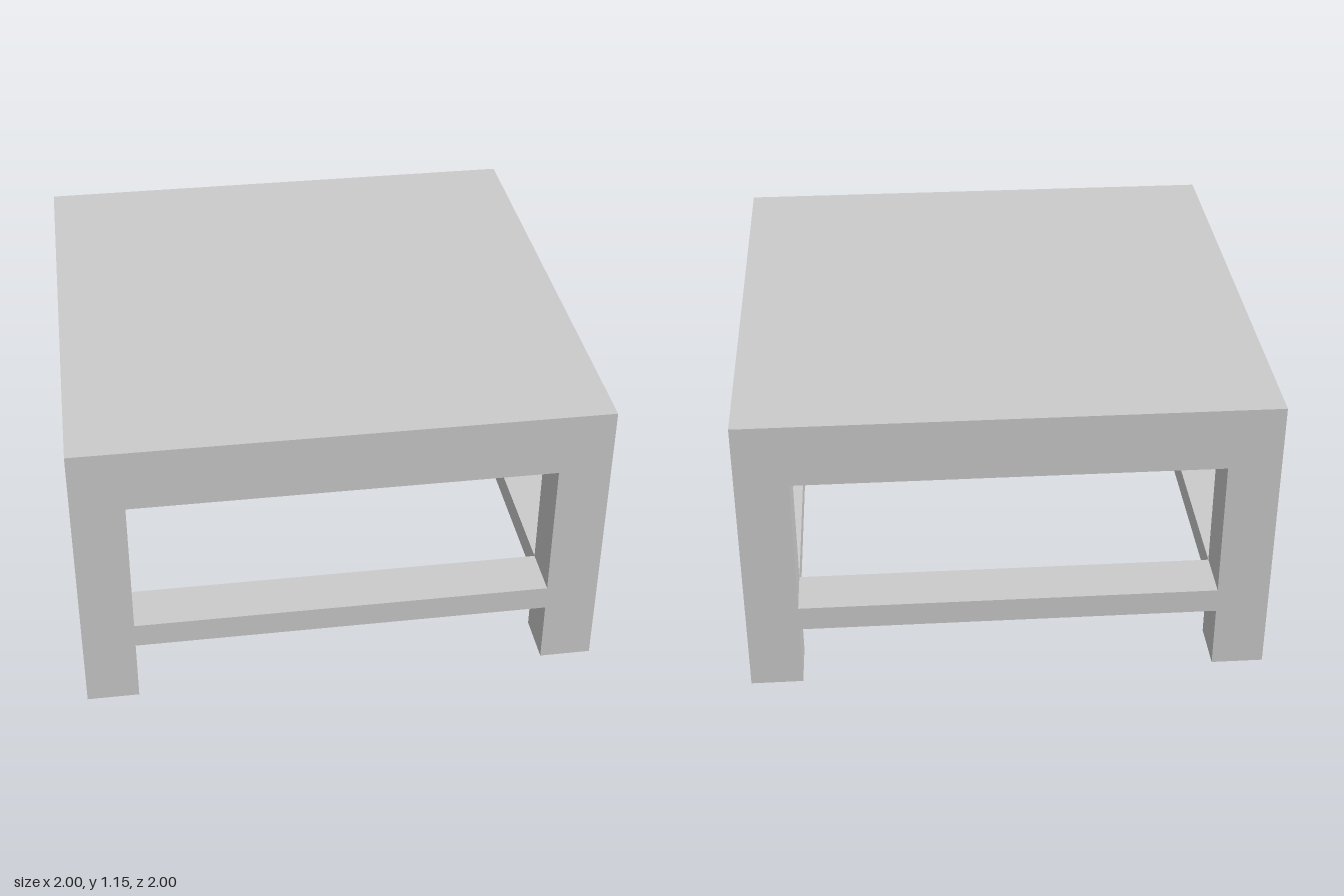
import * as THREE from 'three';

const HEIGHT = 1.154, LEG = 0.2, TOP = 0.005;
const APRON_Y = 0.907, RAIL_Y = 0.253, RAIL_H = 0.098;

export function createModel() {
  const group = new THREE.Group();
  group.name = 'table';
  const material = new THREE.MeshStandardMaterial({ color: 0xcccccc });

  // Box standing on height y, centred on x and z
  const box = (name, w, h, d, x, y, z, parent = group) => {
    const mesh = new THREE.Mesh(new THREE.BoxGeometry(w, h, d), material);
    mesh.name = name;
    mesh.position.set(x, y + h / 2, z);
    parent.add(mesh);
  };

  // Thin sheet closing the frame at the top
  box('tabletop', 2, TOP, 2, 0, HEIGHT - TOP, 0);

  // Square legs flush with the corners
  const c = 1 - LEG / 2;
  for (const x of [-c, c])
    for (const z of [-c, c]) box('leg', LEG, HEIGHT - TOP, LEG, x, 0, z);

  // Apron and low stretcher between the legs on each of the four sides
  const span = 2 - 2 * LEG;
  for (let i = 0; i < 4; i++) {
    const side = new THREE.Group();
    side.name = 'sideRails';
    side.rotation.y = (i * Math.PI) / 2;
    box('apron', span, HEIGHT - TOP - APRON_Y, LEG, 0, APRON_Y, c, side);
    box('stretcher', span, RAIL_H, LEG, 0, RAIL_Y, c, side);
    group.add(side);
  }
  return group;
}
